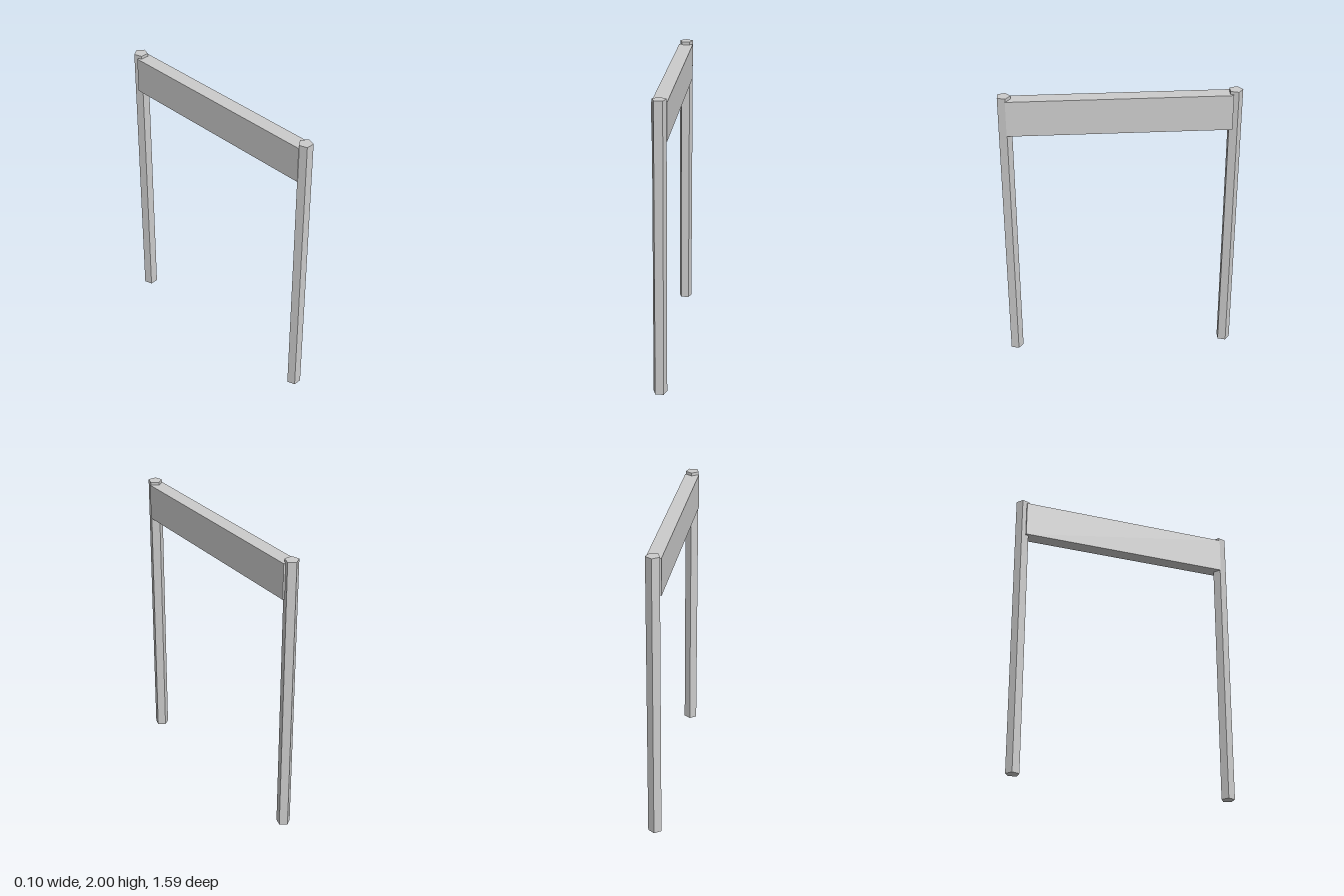
import * as THREE from 'three';

const material = new THREE.MeshStandardMaterial({ color: 0xcccccc, flatShading: true });

export function createModel() {
  const group = new THREE.Group();
  group.name = 'postAndBeamFrame';

  // Two five-sided posts, each with one corner pointing backwards
  const radius = 0.0475, height = 2;
  const postGeometry = new THREE.CylinderGeometry(radius, radius, height, 5, 1, false, Math.PI);
  for (const [name, z] of [['frontPost', 0.7555], ['backPost', -0.7465]]) {
    const post = new THREE.Mesh(postGeometry, material);
    post.name = name;
    post.position.set(0, height / 2, z);
    group.add(post);
  }

  // Deep beam let into both posts just below their tops
  const bottom = 1.732, top = 1.979, back = -0.729, front = 0.744;
  const beam = new THREE.Mesh(new THREE.BoxGeometry(0.097, top - bottom, front - back), material);
  beam.name = 'crossBeam';
  beam.position.set(0, (top + bottom) / 2, (front + back) / 2);
  group.add(beam);

  return group;
}
